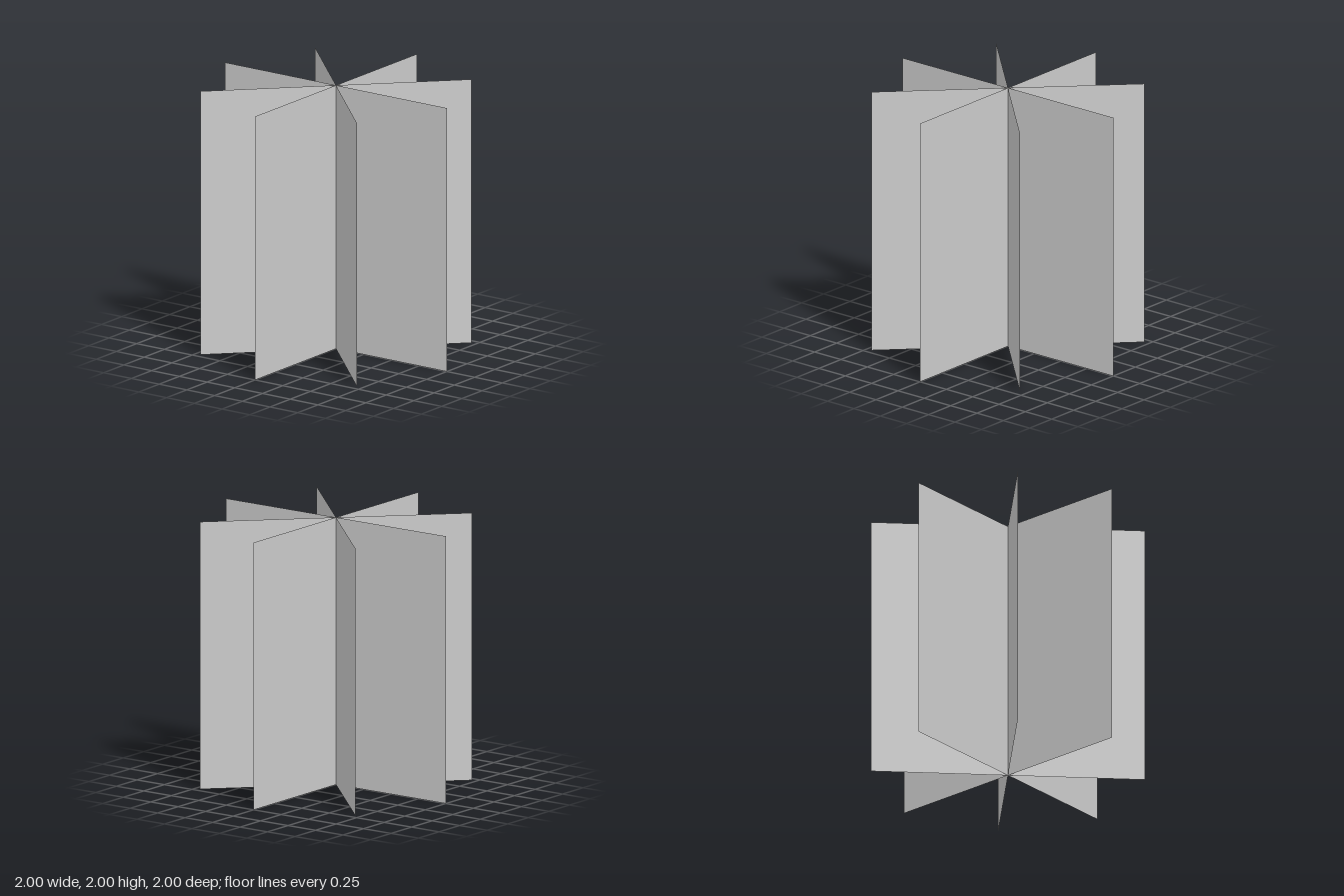
import * as THREE from 'three';

export function createModel() {
  const model = new THREE.Group();
  model.name = 'crossedPanels';

  const material = new THREE.MeshStandardMaterial({
    color: 0xcccccc,
    side: THREE.DoubleSide,
  });
  const panelCount = 4;
  const size = 2;
  const geometry = new THREE.PlaneGeometry(size, size);

  // Upright square panels crossing on the vertical axis, evenly turned
  for (let i = 0; i < panelCount; i++) {
    const panel = new THREE.Mesh(geometry, material);
    panel.name = `panel${i + 1}`;
    panel.position.y = size / 2;
    panel.rotation.y = (i * Math.PI) / panelCount;
    model.add(panel);
  }
  return model;
}
